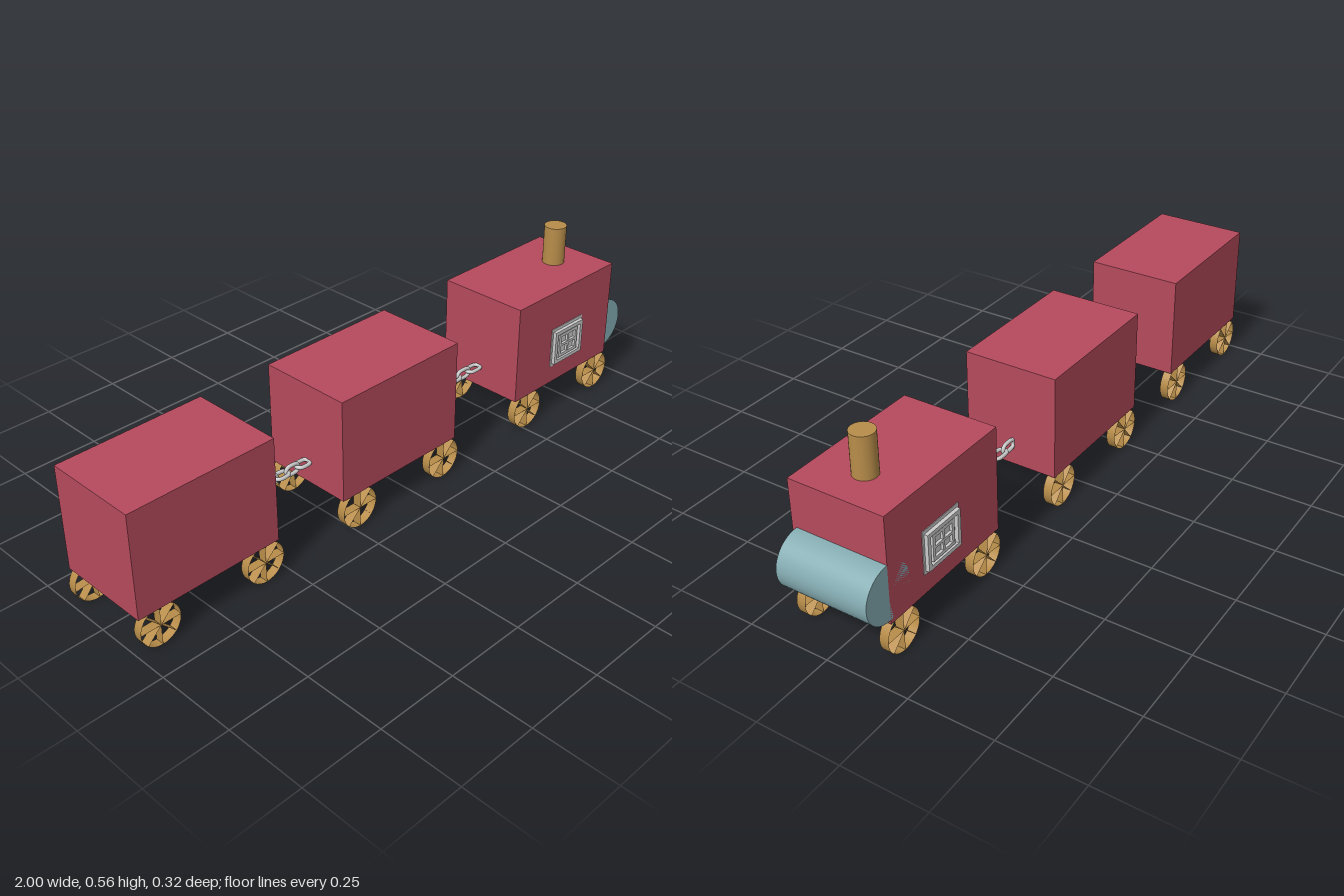
import * as THREE from 'three';

const material = (color, extra = {}) => new THREE.MeshStandardMaterial({ color, ...extra });
const red = material(0xb54a5c);
const teal = material(0x86aeb4);
const gold = material(0xb88d4a);
const goldSheet = material(0xb88d4a, { side: THREE.DoubleSide });
const grey = material(0xcccccc);

const WHEEL_RADIUS = 0.0625;
const WHEEL_WIDTH = 0.028;
const FRONT_Z = 0.154, BACK_Z = -0.14;

function mesh(parent, name, geometry, mat, x = 0, y = 0, z = 0) {
  const m = new THREE.Mesh(geometry, mat);
  m.name = name;
  m.position.set(x, y, z);
  parent.add(m);
  return m;
}

// Thin hoop crossed by four full-width sheet spokes
function wheel(x, z, turn) {
  const g = new THREE.Group();
  g.name = 'wheel';
  const rim = new THREE.CylinderGeometry(WHEEL_RADIUS, WHEEL_RADIUS, WHEEL_WIDTH, 32, 1, true);
  mesh(g, 'rim', rim.rotateX(Math.PI / 2), goldSheet);
  for (let i = 0; i < 4; i++) {
    const spoke = new THREE.PlaneGeometry(WHEEL_RADIUS * 2, WHEEL_WIDTH).rotateX(Math.PI / 2);
    mesh(g, 'spoke', spoke, goldSheet).rotation.z = i * Math.PI / 4;
  }
  g.rotation.z = turn;
  g.position.set(x, WHEEL_RADIUS, z);
  return g;
}

// Box body on four wheels
function car(name, x) {
  const g = new THREE.Group();
  g.name = name;
  mesh(g, 'body', new THREE.BoxGeometry(0.46, 0.32, FRONT_Z - BACK_Z), red, 0, 0.275, (FRONT_Z + BACK_Z) / 2);
  const frontZ = FRONT_Z - WHEEL_WIDTH / 2, backZ = BACK_Z + WHEEL_WIDTH / 2;
  g.add(wheel(-0.165, frontZ, 0), wheel(0.183, frontZ, 0));
  g.add(wheel(-0.175, backZ, 0.1), wheel(0.183, backZ, 0));
  g.position.x = x;
  return g;
}

// Rectangular frame extruded toward +z
function frame(w, h, border, depth) {
  const rect = (path, a, b) => path.moveTo(-a, -b).lineTo(a, -b).lineTo(a, b).lineTo(-a, b).closePath();
  const shape = rect(new THREE.Shape(), w / 2, h / 2);
  shape.holes.push(rect(new THREE.Path(), w / 2 - border, h / 2 - border));
  return new THREE.ExtrudeGeometry(shape, { depth, bevelEnabled: false });
}

// Stepped window with crossed bars
function windowPanel() {
  const g = new THREE.Group();
  g.name = 'window';
  mesh(g, 'backing', new THREE.BoxGeometry(0.15, 0.132, 0.004), grey);
  mesh(g, 'outerFrame', frame(0.136, 0.112, 0.012, 0.013), grey);
  mesh(g, 'innerFrame', frame(0.09, 0.08, 0.01, 0.01), grey);
  mesh(g, 'crossbar', new THREE.BoxGeometry(0.08, 0.008, 0.01), grey, 0, 0, 0.005);
  mesh(g, 'upright', new THREE.BoxGeometry(0.008, 0.07, 0.009), grey, 0, 0, 0.005);
  return g;
}

// Stadium-shaped link lying in the xy plane
function linkGeometry(length, width, r) {
  const points = [];
  const bend = width / 2 - r, straight = length / 2 - width / 2;
  for (const side of [1, -1]) {
    for (let i = 0; i <= 6; i++) {
      const a = -Math.PI / 2 + i * Math.PI / 6;
      points.push(new THREE.Vector3(side * (straight + bend * Math.cos(a)), side * bend * Math.sin(a), 0));
    }
  }
  return new THREE.TubeGeometry(new THREE.CatmullRomCurve3(points, true), 40, r, 8, true);
}

// Alternating links between two cars
function chain(x0, x1, z) {
  const g = new THREE.Group();
  g.name = 'chain';
  const count = 6, pitch = (x1 - x0) / count;
  const link = linkGeometry(pitch + 0.018, 0.04, 0.006);
  for (let i = 0; i < count; i++) {
    mesh(g, 'link', link, grey, x0 + pitch * (i + 0.5), 0.185, z).rotation.x = (i % 2) * Math.PI / 2;
  }
  return g;
}

export function createModel() {
  const model = new THREE.Group();
  model.name = 'toyTrain';

  model.add(car('rearCart', -0.76), car('middleCart', -0.06));
  model.add(chain(-0.53, -0.29, 0.012), chain(0.17, 0.45, 0));

  const engine = car('engine', 0.682);
  model.add(engine);

  // Boiler laid across the nose, and chimney
  const boiler = new THREE.CylinderGeometry(0.083, 0.083, 0.28, 48).rotateX(Math.PI / 2);
  mesh(engine, 'boiler', boiler, teal, 0.233, 0.211, 0);
  mesh(engine, 'chimney', new THREE.CylinderGeometry(0.035, 0.035, 0.14, 32), gold, 0.112, 0.49, 0.008);

  // One window on each side of the engine
  const front = windowPanel();
  front.position.set(0.01, 0.24, FRONT_Z);
  const back = windowPanel();
  back.position.set(0.02, 0.24, BACK_Z);
  back.rotation.y = Math.PI;
  engine.add(front, back);

  return model;
}
